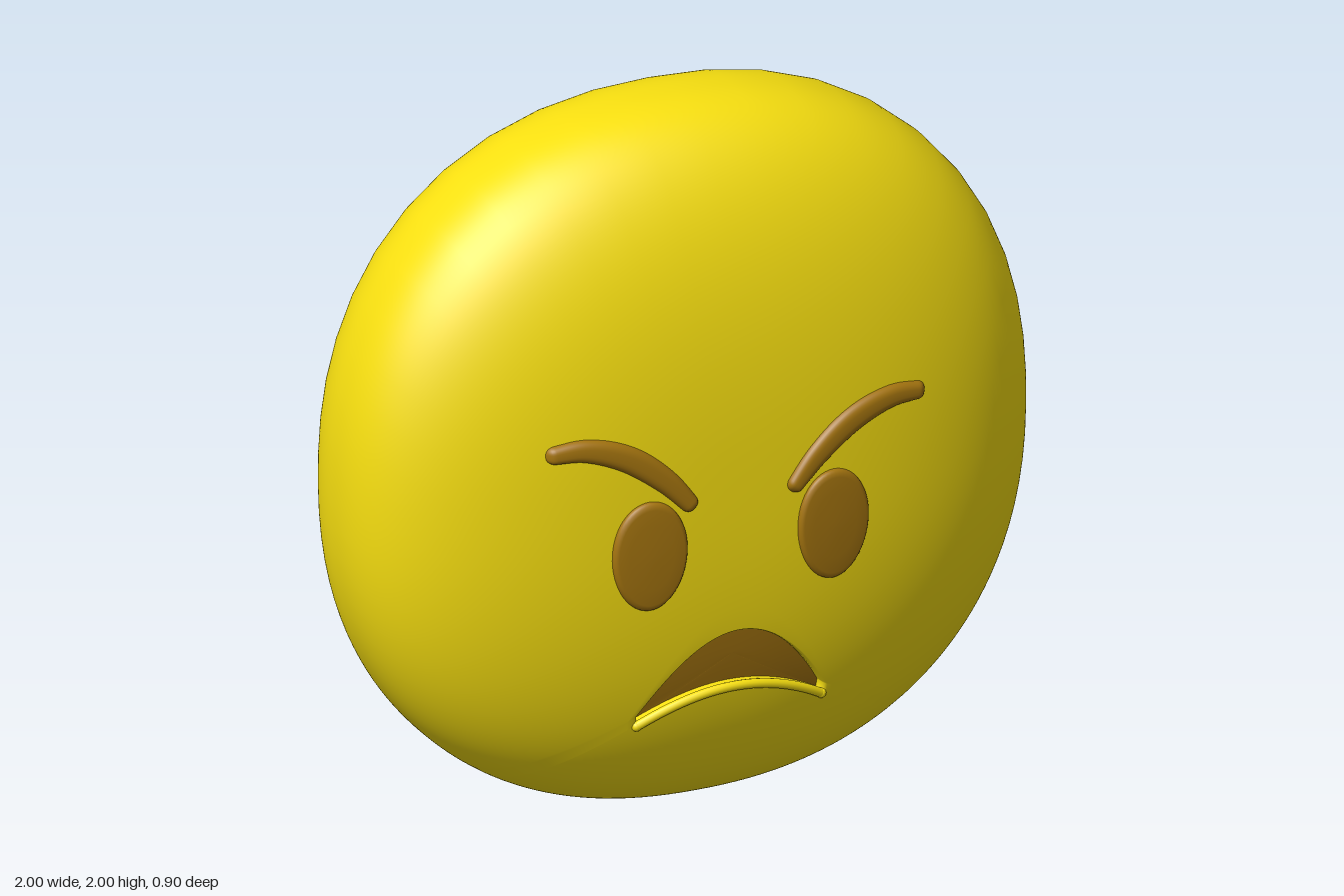
import * as THREE from 'three';

const yellow = new THREE.MeshStandardMaterial({ color: 0xf8e010 });
const brown = new THREE.MeshStandardMaterial({ color: 0xa4740f });

// Body: a flattened, slightly squarish cushion
const M = 2.25, N = 2.5, DEPTH = 0.442, ZC = -0.008;
const radius = (x, y) => (Math.abs(x) ** M + Math.abs(y - 1) ** M) ** (1 / M);
const bulge = (x, y) => DEPTH * Math.max(0, 1 - radius(x, y) ** N) ** (1 / N);
const onFront = (x, y, lift = 0) => new THREE.Vector3(x, y, ZC + bulge(x, y) + lift);

// Skin over rows of points; closed rows wrap around
function skin(rows, { closed = true, mirror = false } = {}) {
  const n = rows[0].length, pos = [], idx = [];
  rows.flat().forEach(p => pos.push(mirror ? -p.x : p.x, p.y, p.z));
  for (let i = 0; i < rows.length - 1; i++) {
    for (let j = 0; j < (closed ? n : n - 1); j++) {
      const a = i * n + j, b = i * n + (j + 1) % n, c = a + n, d = b + n;
      if (mirror) idx.push(a, c, b, b, c, d);
      else idx.push(a, b, c, b, d, c);
    }
  }
  const g = new THREE.BufferGeometry();
  g.setAttribute('position', new THREE.Float32BufferAttribute(pos, 3));
  g.setIndex(idx);
  g.computeVertexNormals();
  return g;
}

// Mouth outline, counter-clockwise: upper arch, then lower arch
const MC = new THREE.Vector2(0, 0.51), MW = 0.272;
const lowerY = u => 0.345 + 0.082 * (1 - u * u);
const mouth = [];
for (let i = 0; i <= 80; i++) {
  const u = Math.cos(Math.PI * i / 80) * 0.5 + (1 - i / 40) * 0.5;
  mouth.push(new THREE.Vector2(MW * u, 0.37 + 0.22 * (1 - u * u)));
}
for (let i = 0; i <= 80; i++) {
  const u = i / 40 - 1;
  mouth.push(new THREE.Vector2(MW * u, lowerY(u)));
}
const mouthRing = (k, lift) => mouth.map(p => {
  const q = MC.clone().lerp(p, k);
  return onFront(q.x, q.y, lift);
});

// Point where the ray from the mouth centre through p meets the body silhouette
function rimPoint(p) {
  const dir = p.clone().sub(MC).normalize();
  let lo = 0, hi = 3;
  for (let i = 0; i < 45; i++) {
    const k = (lo + hi) / 2;
    if (radius(MC.x + dir.x * k, MC.y + dir.y * k) < 1) lo = k; else hi = k;
  }
  return MC.clone().addScaledVector(dir, lo);
}

function bodyGeometry() {
  const rim = mouth.map(rimPoint), rows = [], S = 56;
  const ease = s => 1 - (1 - s) ** 2.5;
  // back, from its middle out to the rim
  for (let i = 0; i <= S; i++) {
    rows.push(rim.map(r => {
      const q = MC.clone().lerp(r, ease(i / S));
      return new THREE.Vector3(q.x, q.y, ZC - bulge(q.x, q.y));
    }));
  }
  // front, from the rim in to the mouth
  const edge = mouth.map(p => MC.clone().lerp(p, 1.05));
  for (let i = S - 1; i >= 0; i--) {
    rows.push(rim.map((r, j) => {
      const q = edge[j].clone().lerp(r, ease(i / S));
      return onFront(q.x, q.y);
    }));
  }
  // rounded edge and wall of the mouth recess
  [[1.03, -0.002], [1.01, -0.007], [0.995, -0.018], [0.99, -0.05]]
    .forEach(([k, d]) => rows.push(mouthRing(k, d)));
  return skin(rows);
}

// Egg-shaped pad with a rounded edge
function eyeGeometry(mirror) {
  const profile = [[1, -0.02], [1, 0.003], [0.985, 0.01], [0.95, 0.015], [0.88, 0.018],
    [0.6, 0.019], [0.3, 0.02], [0, 0.02]];
  const rows = profile.map(([k, lift]) => Array.from({ length: 56 }, (_, j) => {
    const a = j / 56 * Math.PI * 2, s = Math.sin(a);
    return onFront(0.27 + 0.106 * k * Math.cos(a) * (1 + 0.06 * s), 0.857 + 0.158 * k * s, lift);
  }));
  return skin(rows, { mirror });
}

// Curved brow swept along a centre line, with round ends
const browLine = new THREE.CatmullRomCurve3([
  [0.14, 0.975], [0.225, 1.068], [0.335, 1.148], [0.45, 1.185], [0.56, 1.18],
].map(([x, y]) => new THREE.Vector3(x, y, 0)));

function browGeometry(mirror) {
  const rows = [];
  for (let i = 0; i <= 60; i++) {
    const t = (1 - Math.cos(Math.PI * i / 60)) / 2;
    const d = Math.min(1, Math.min(t, 1 - t) / 0.05);
    const cap = Math.sqrt(Math.max(0, 1 - (1 - d) ** 2));
    const w = cap * (0.024 + 0.014 * Math.sin(Math.PI * t));
    const p = browLine.getPointAt(t), tan = browLine.getTangentAt(t);
    rows.push(Array.from({ length: 19 }, (_, j) => {
      const a = Math.PI * j / 18, c = Math.cos(a);
      const off = w * Math.sign(c) * Math.abs(c) ** 0.7;
      const lift = -0.015 + 0.035 * cap * Math.max(0, Math.sin(a)) ** 0.7;
      return onFront(p.x - tan.y * off, p.y + tan.x * off, lift);
    }));
  }
  return skin(rows, { closed: false, mirror });
}

export function createModel() {
  const group = new THREE.Group();
  const add = (name, geometry, material) => {
    const mesh = new THREE.Mesh(geometry, material);
    mesh.name = name;
    group.add(mesh);
    return mesh;
  };

  add('body', bodyGeometry(), yellow);
  add('mouthFloor', skin([1.01, 0.75, 0.5, 0.25, 0].map(k => mouthRing(k, -0.035))), brown);

  // raised lower lip with round ends
  const lipPoints = Array.from({ length: 15 }, (_, i) => {
    const u = i / 7 - 1;
    return onFront(MW * u, lowerY(u) - 0.008, -0.003);
  });
  const lipCurve = new THREE.CatmullRomCurve3(lipPoints);
  add('lowerLip', new THREE.TubeGeometry(lipCurve, 60, 0.013, 12), yellow);
  [lipPoints[0], lipPoints[14]].forEach(p =>
    add('lipEnd', new THREE.SphereGeometry(0.014, 16, 12), yellow).position.copy(p));

  for (const [side, mirror] of [['left', false], ['right', true]]) {
    add(side + 'Eye', eyeGeometry(mirror), brown);
    add(side + 'Brow', browGeometry(mirror), brown);
  }
  return group;
}
